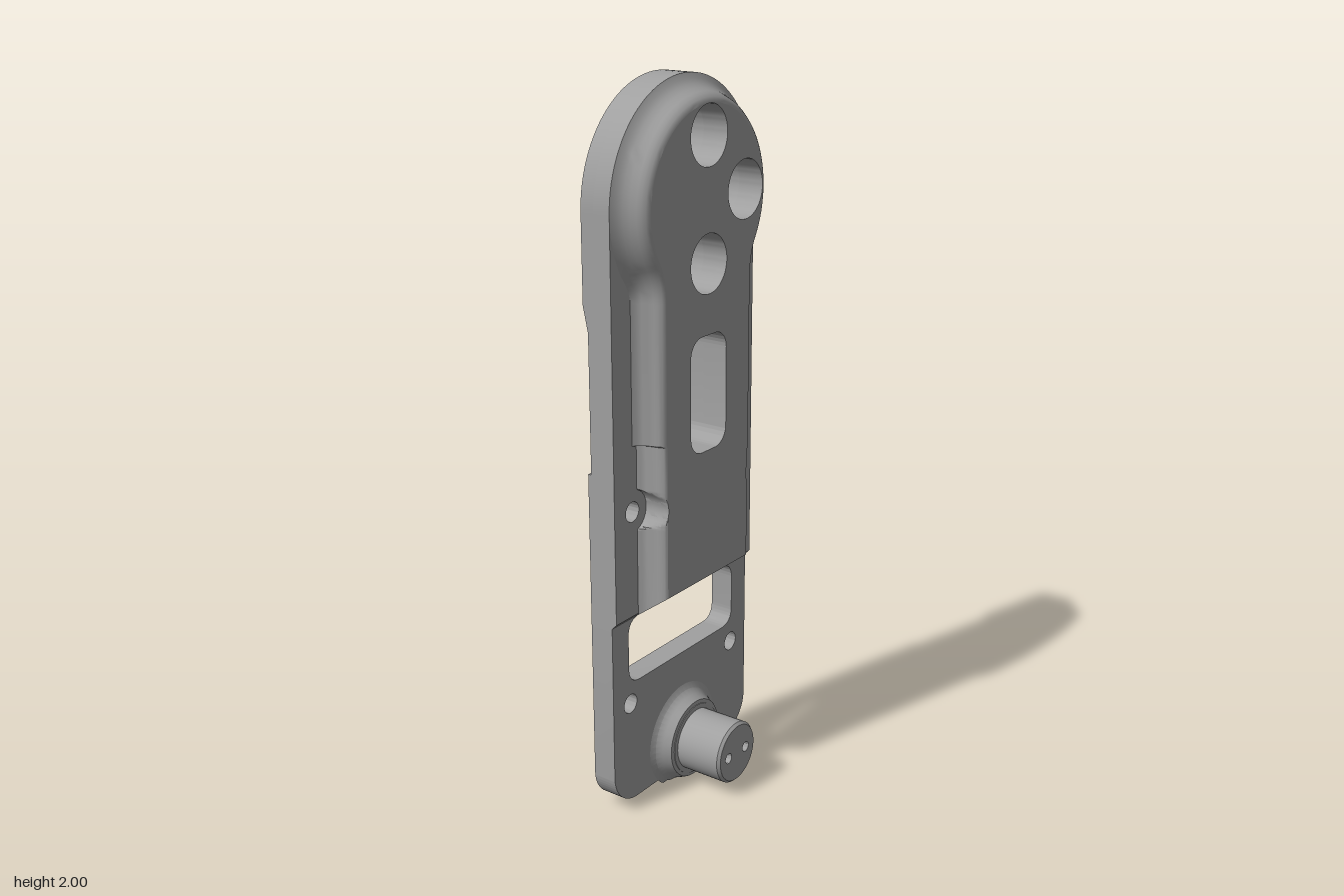
import * as THREE from 'three';
import { toCreasedNormals } from 'three/addons/utils/BufferGeometryUtils.js';

const HEAD_Y = 1.685, WIDTH = 0.315, BOSS_Y = 0.12;
const BOLTS = [[0, 1.85], [0.165, 1.69], [-0.165, 1.69], [0, 1.52]];

export function createModel() {
  const model = new THREE.Group();
  model.name = 'linkArm';
  const metal = new THREE.MeshStandardMaterial({ color: 0xa0a0a0 });
  metal.name = 'grey metal';

  const add = (name, geometry, crease = 0.5) => {
    const mesh = new THREE.Mesh(toCreasedNormals(geometry, crease), metal);
    mesh.name = name;
    model.add(mesh);
    return mesh;
  };
  // Shapes are drawn as seen from +x, then extruded from x0 to x1
  const slab = (name, shape, x0, x1) => {
    const g = new THREE.ExtrudeGeometry(shape, { depth: x1 - x0, bevelEnabled: false, curveSegments: 32 });
    g.translate(0, 0, x0).rotateY(Math.PI / 2);
    return add(name, g);
  };
  // Side profile (x, y) carried across the full width
  const ramp = (name, points) => {
    const shape = new THREE.Shape(points.map(p => new THREE.Vector2(...p)));
    const g = new THREE.ExtrudeGeometry(shape, { depth: 2 * WIDTH, bevelEnabled: false });
    return add(name, g.translate(0, 0, -WIDTH));
  };
  const circle = (x, y, r) => new THREE.Path().absarc(x, y, r, 0, Math.PI * 2, false);
  const roundedRect = (w, y0, y1, r) => {
    const p = new THREE.Path();
    p.moveTo(-w + r, y0);
    p.absarc(w - r, y0 + r, r, -Math.PI / 2, 0, false);
    p.absarc(w - r, y1 - r, r, 0, Math.PI / 2, false);
    p.absarc(-w + r, y1 - r, r, Math.PI / 2, Math.PI, false);
    p.absarc(-w + r, y0 + r, r, Math.PI, Math.PI * 1.5, false);
    return p;
  };
  const archShape = y0 => {
    const s = new THREE.Shape();
    s.moveTo(-WIDTH, y0);
    s.lineTo(WIDTH, y0);
    s.absarc(0, HEAD_Y, WIDTH, 0, Math.PI, false);
    s.closePath();
    return s;
  };
  const rect = (y0, y1) => new THREE.Shape([
    new THREE.Vector2(-WIDTH, y0), new THREE.Vector2(WIDTH, y0),
    new THREE.Vector2(WIDTH, y1), new THREE.Vector2(-WIDTH, y1)]);
  const windowHole = () => roundedRect(0.08, 1.01, 1.33, 0.05);

  // Main plate
  const plate = archShape(0.59);
  plate.holes.push(windowHole(), circle(0, 1.69, 0.08),
    ...BOLTS.map(([x, y]) => circle(x, y, 0.08)),
    circle(0.24, 0.89, 0.028), circle(-0.24, 0.89, 0.028));
  slab('mainPlate', plate, -0.08, -0.03);
  ramp('plateLowerEdge', [[-0.08, 0.575], [-0.045, 0.575], [-0.03, 0.59], [-0.08, 0.59]]);

  // Back of the head with bolt holes and a blind central bore
  const headBack = archShape(1.45);
  headBack.holes.push(circle(0, 1.69, 0.08), ...BOLTS.map(([x, y]) => circle(x, y, 0.04)));
  slab('headBack', headBack, -0.12, -0.08);
  ramp('headBackRamp', [[-0.08, 1.38], [-0.08, 1.45], [-0.12, 1.45], [-0.105, 1.38]]);

  // Recessed middle of the back
  const middle = rect(1.0, 1.38);
  middle.holes.push(roundedRect(0.11, 1.005, 1.35, 0.05),
    circle(0.24, 1.13, 0.028), circle(-0.24, 1.13, 0.028));
  slab('middleBack', middle, -0.105, -0.08);

  // Back side rails with screw bosses
  for (const s of [1, -1]) {
    const rail = new THREE.Shape();
    rail.moveTo(s * WIDTH, 0.575);
    rail.lineTo(s * WIDTH, 1.0);
    rail.lineTo(s * 0.24, 1.0);
    rail.absarc(s * 0.24, 0.89, 0.06, Math.PI / 2, Math.PI * 1.5, s < 0);
    rail.lineTo(s * 0.24, 0.575);
    rail.closePath();
    rail.holes.push(circle(s * 0.24, 0.89, 0.028));
    slab(s > 0 ? 'rearRail' : 'frontRail', rail, -0.115, -0.08);
  }

  // Foot plate, open at the top to form the slot
  const foot = new THREE.Shape();
  foot.moveTo(-0.215, 0.02);
  foot.absarc(0.215, 0.12, 0.1, -Math.PI / 2, 0, false);
  foot.lineTo(WIDTH, 0.575);
  foot.lineTo(0.2, 0.575);
  foot.quadraticCurveTo(0.245, 0.57, 0.245, 0.525);
  foot.lineTo(0.245, 0.43);
  foot.quadraticCurveTo(0.245, 0.38, 0.195, 0.38);
  foot.lineTo(-0.195, 0.38);
  foot.quadraticCurveTo(-0.245, 0.38, -0.245, 0.43);
  foot.lineTo(-0.245, 0.525);
  foot.quadraticCurveTo(-0.245, 0.57, -0.2, 0.575);
  foot.lineTo(-WIDTH, 0.575);
  foot.absarc(-0.215, 0.12, 0.1, Math.PI, Math.PI * 1.5, false);
  foot.holes.push(circle(0.24, 0.32, 0.028), circle(-0.24, 0.32, 0.028), circle(0, BOSS_Y, 0.08));
  slab('footPlate', foot, -0.115, -0.045);

  // Outline of the raised face, grown outward by d at height x
  const outline = (d, x) => {
    const low = 0.185 + d * 0.5, up = 0.185 + d * 0.75, R = 0.245 + d;
    const half = [[low, 0.585 + (x + 0.03) * 0.73]];
    for (let i = 0; i <= 16; i++) {            // round bite for the screw head
      const dy = -0.06 * Math.cos(Math.PI * i / 16);
      half.push([Math.min(low, 0.24 - Math.sqrt(Math.max(0, 0.0036 - dy * dy))), 0.89 + dy]);
    }
    half.push([low, 1.068], [up, 1.072]);
    const neck = new THREE.QuadraticBezierCurve(
      new THREE.Vector2(up, 1.45), new THREE.Vector2(up, HEAD_Y - R * 0.5 - 0.045),
      new THREE.Vector2(R * Math.cos(Math.PI / 6), HEAD_Y - R / 2));
    neck.getPoints(8).forEach(p => half.push([p.x, p.y]));
    for (let i = 1; i <= 24; i++) {            // head arc up to the crown
      const a = -Math.PI / 6 + (Math.PI * 2 / 3) * i / 24;
      half.push([R * Math.cos(a), HEAD_Y + R * Math.sin(a)]);
    }
    return [...half, ...half.slice(0, -1).reverse().map(([a, y]) => [-a, y])];
  };

  // Raised face with counterbores and window
  const face = new THREE.Shape(outline(0, 0.045).map(p => new THREE.Vector2(...p)));
  face.holes.push(windowHole(), ...BOLTS.map(([x, y]) => circle(x, y, 0.08)));
  slab('raisedFace', face, -0.03, 0.045);

  // Curved flank around the raised face
  const levels = [[0.07, -0.03], [0.055, -0.022], [0.043, -0.01], [0.034, 0.004],
    [0.027, 0.02], [0.022, 0.03], [0.014, 0.039], [0.007, 0.0435], [0, 0.045]];
  const rings = levels.map(([d, x]) => outline(d, x));
  const n = rings[0].length, pos = [], index = [];
  rings.forEach((ring, k) => ring.forEach(([a, y]) => pos.push(a, y, levels[k][1])));
  for (let k = 0; k < rings.length - 1; k++) {
    for (let i = 0; i < n; i++) {
      const a = k * n + i, b = k * n + (i + 1) % n;
      index.push(a, b, b + n, a, b + n, a + n);
    }
  }
  const flank = new THREE.BufferGeometry();
  flank.setAttribute('position', new THREE.Float32BufferAttribute(pos, 3));
  flank.setIndex(index);
  add('raisedFlank', flank.rotateY(Math.PI / 2), 0.6);

  // Pivot: back collar with bore, flared base and shaft turned about x
  const profile = [[0, -0.05], [0.075, -0.05], [0.075, -0.148], [0.11, -0.148], [0.11, -0.045],
    [0.155, -0.045], [0.138, -0.038], [0.125, -0.022], [0.117, -0.003], [0.115, 0], [0.104, 0.002],
    [0.104, 0.004], [0.09, 0.004], [0.09, 0.139], [0.083, 0.147], [0.08, 0.147], [0.08, 0.12], [0, 0.12]];
  const pivot = new THREE.LatheGeometry(profile.map(p => new THREE.Vector2(...p)), 48);
  pivot.rotateZ(-Math.PI / 2).translate(0, BOSS_Y, 0);
  const p = pivot.attributes.position;
  for (let i = 0; i < p.count; i++) p.setY(i, Math.max(p.getY(i), 0));
  add('pivotShaft', pivot);

  // Shaft end with two pin holes
  const tip = new THREE.Shape().absarc(0, BOSS_Y, 0.0825, 0, Math.PI * 2, false);
  tip.holes.push(circle(0.042, BOSS_Y, 0.015), circle(-0.042, BOSS_Y, 0.015));
  slab('shaftEnd', tip, 0.121, 0.1472);

  return model;
}
